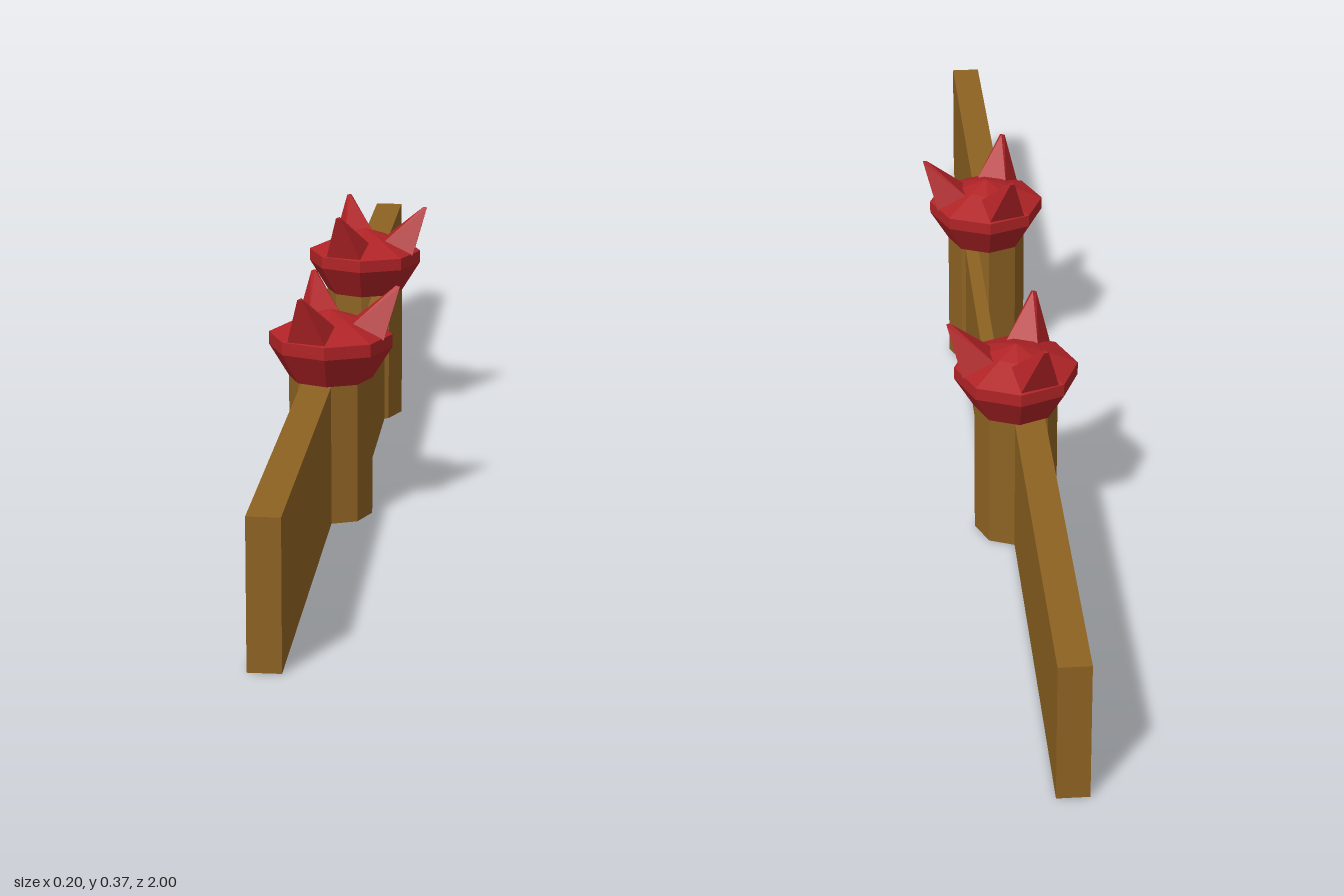
import * as THREE from 'three';
import { ConvexGeometry } from 'three/addons/geometries/ConvexGeometry.js';

const wood = new THREE.MeshStandardMaterial({ color: 0x8d6222, flatShading: true });
wood.name = 'brown wood';
const red = new THREE.MeshStandardMaterial({ color: 0xb02326, flatShading: true });
red.name = 'deep red';

function add(parent, name, geometry, material, x = 0, y = 0, z = 0) {
  const mesh = new THREE.Mesh(geometry, material);
  mesh.name = name;
  mesh.position.set(x, y, z);
  parent.add(mesh);
  return mesh;
}

const H = 0.22;          // wall and post height
const POST_X = -0.007;
const POST_Z = 0.29;

// Leaning claw: wide base on the rim, blunt tip overhanging outwards (+x)
function clawGeometry() {
  const points = [];
  for (const s of [-1, 1]) {
    points.push(
      new THREE.Vector3(0.085, 0.068, s * 0.033),
      new THREE.Vector3(0.034, 0.088, s * 0.026),
      new THREE.Vector3(0.034, 0.068, s * 0.03),
      new THREE.Vector3(0.107, 0.145, s * 0.004),
    );
  }
  points.push(new THREE.Vector3(0.101, 0.147, 0));
  return new ConvexGeometry(points);
}

function createPost() {
  const post = new THREE.Group();
  post.name = 'post';
  add(post, 'shaft', new THREE.CylinderGeometry(0.065, 0.065, H, 8), wood, 0, H / 2);

  // Flared cup, straight rim and low pointed cap
  const crown = new THREE.Group();
  crown.name = 'crown';
  crown.position.y = H;
  const profile = [[0, 0], [0.065, 0], [0.096, 0.05], [0.096, 0.07], [0.04, 0.094], [0, 0.108]]
    .map(([r, y]) => new THREE.Vector2(r, y));
  add(crown, 'cup', new THREE.LatheGeometry(profile, 8), red);

  // One claw on the outer side and two flanking it
  for (const degrees of [0, 110, -110]) {
    add(crown, 'claw', clawGeometry(), red).rotation.y = THREE.MathUtils.degToRad(degrees);
  }
  post.add(crown);
  return post;
}

export function createModel() {
  const model = new THREE.Group();
  model.name = 'fortifiedWall';

  // Thin middle wall, offset from the end walls
  add(model, 'middleWall', new THREE.BoxGeometry(0.022, H, 2 * POST_Z), wood, 0.021, H / 2);

  for (const s of [-1, 1]) {
    const length = 1 - POST_Z;
    add(model, 'endWall', new THREE.BoxGeometry(0.048, H, length), wood, -0.024, H / 2, s * (1 - length / 2));
    const post = createPost();
    post.position.set(POST_X, 0, s * POST_Z);
    model.add(post);
  }
  return model;
}
